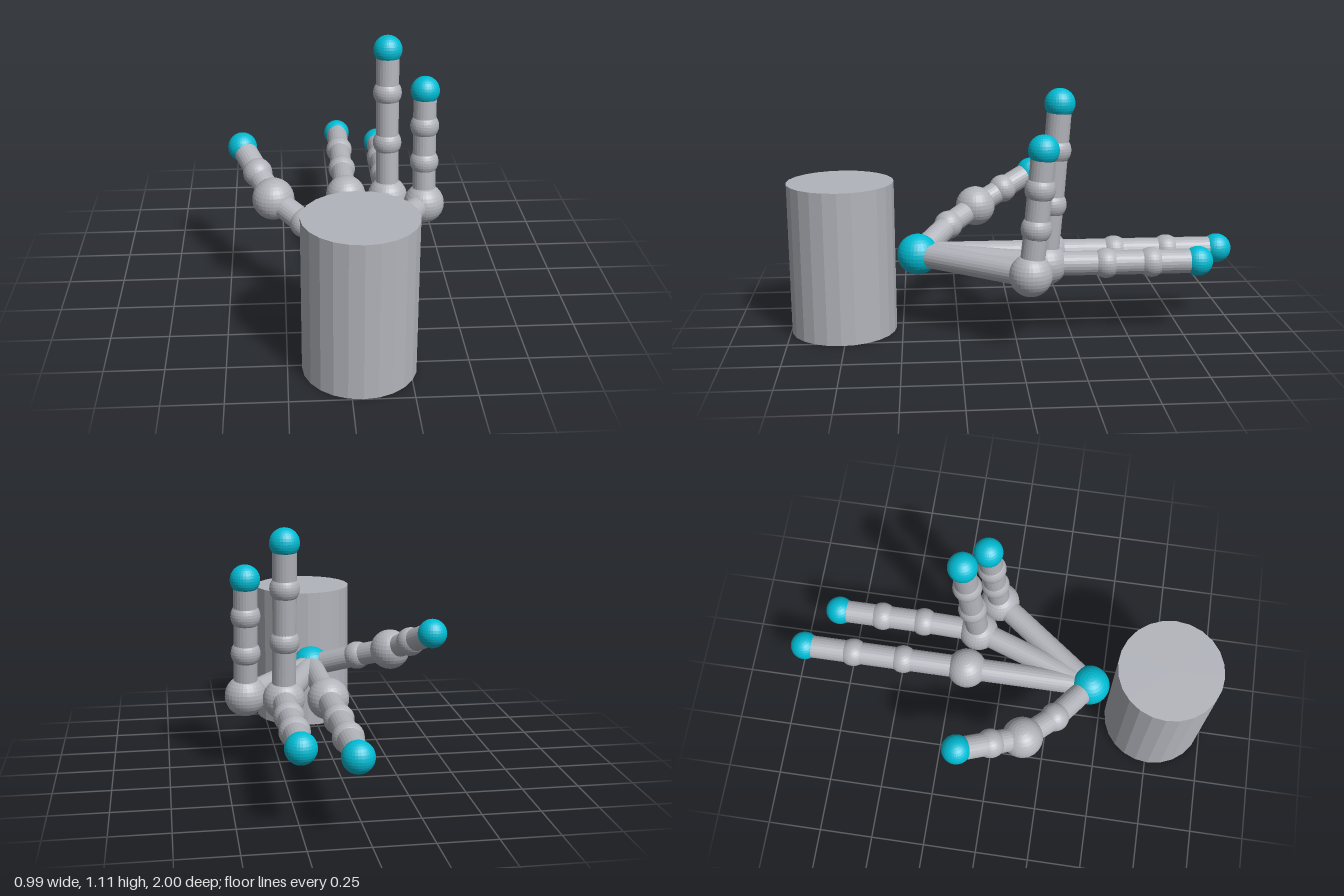
import * as THREE from 'three';

const bone = new THREE.MeshStandardMaterial({ color: 0xb2b4bb, flatShading: true });
bone.name = 'bone grey';
const accent = new THREE.MeshStandardMaterial({ color: 0x00bcd4, flatShading: true });
accent.name = 'tip teal';

const BONE_R = 0.053, JOINT_R = 0.066, KNUCKLE_R = 0.093;
const UP = new THREE.Vector3(0, 1, 0);

function ball(parent, name, p, r, material) {
  const mesh = new THREE.Mesh(new THREE.SphereGeometry(r, 32, 16), material);
  mesh.name = name;
  mesh.position.copy(p);
  parent.add(mesh);
}

// Round bone between two points
function rod(parent, name, a, b) {
  const dir = b.clone().sub(a);
  const mesh = new THREE.Mesh(new THREE.CylinderGeometry(BONE_R, BONE_R, dir.length(), 24), bone);
  mesh.name = name;
  mesh.position.copy(a).add(b).multiplyScalar(0.5);
  mesh.quaternion.setFromUnitVectors(UP, dir.normalize());
  parent.add(mesh);
}

// Chain of bones with joints between them and a teal tip; knuckle marks the large joint
function finger(name, points, knuckle) {
  const group = new THREE.Group();
  group.name = name;
  const pts = points.map(p => new THREE.Vector3(...p));
  for (let i = 1; i < pts.length; i++) {
    rod(group, 'bone', pts[i - 1], pts[i]);
    if (i === pts.length - 1) ball(group, 'fingertip', pts[i], JOINT_R, accent);
    else if (i === knuckle) ball(group, 'knuckle', pts[i], KNUCKLE_R, bone);
    else ball(group, 'joint', pts[i], JOINT_R, bone);
  }
  return group;
}

export function createModel() {
  const model = new THREE.Group();
  model.name = 'jointedHand';
  const Y = 0.341;
  const wrist = [0.045, Y, 0.428];
  const shared = [0.24, Y, -0.13];

  // Forearm stands upright in front of the wrist
  const forearm = new THREE.Mesh(new THREE.CylinderGeometry(0.236, 0.236, 0.68, 24), bone);
  forearm.name = 'forearm';
  forearm.position.set(0.045, 0.34, 0.764);
  model.add(forearm);

  ball(model, 'wrist', new THREE.Vector3(...wrist), 0.092, accent);

  // Thumb and three fingers reach out from the wrist
  model.add(finger('thumb', [wrist, [-0.16, 0.42, 0.285], [-0.294, 0.477, 0.153],
    [-0.362, 0.544, 0.018], [-0.43, 0.612, -0.122]], 2));
  model.add(finger('indexFinger', [wrist, [0.045, Y, -0.156], [0.045, Y, -0.46],
    [0.045, Y, -0.7], [0.045, Y, -0.935]], 1));
  model.add(finger('middleFinger', [wrist, shared, [0.247, Y, -0.394],
    [0.247, Y, -0.595], [0.247, Y, -0.804]], 1));
  model.add(finger('littleFinger', [wrist, [0.403, Y, -0.05], [0.401, 0.542, -0.072],
    [0.4, 0.712, -0.087], [0.4, 0.876, -0.102]], 1));

  // Raised finger grows from the same knuckle as the middle finger
  model.add(finger('ringFinger', [shared, [0.237, 0.607, -0.153],
    [0.236, 0.845, -0.171], [0.236, 1.045, -0.186]], 0));

  return model;
}
